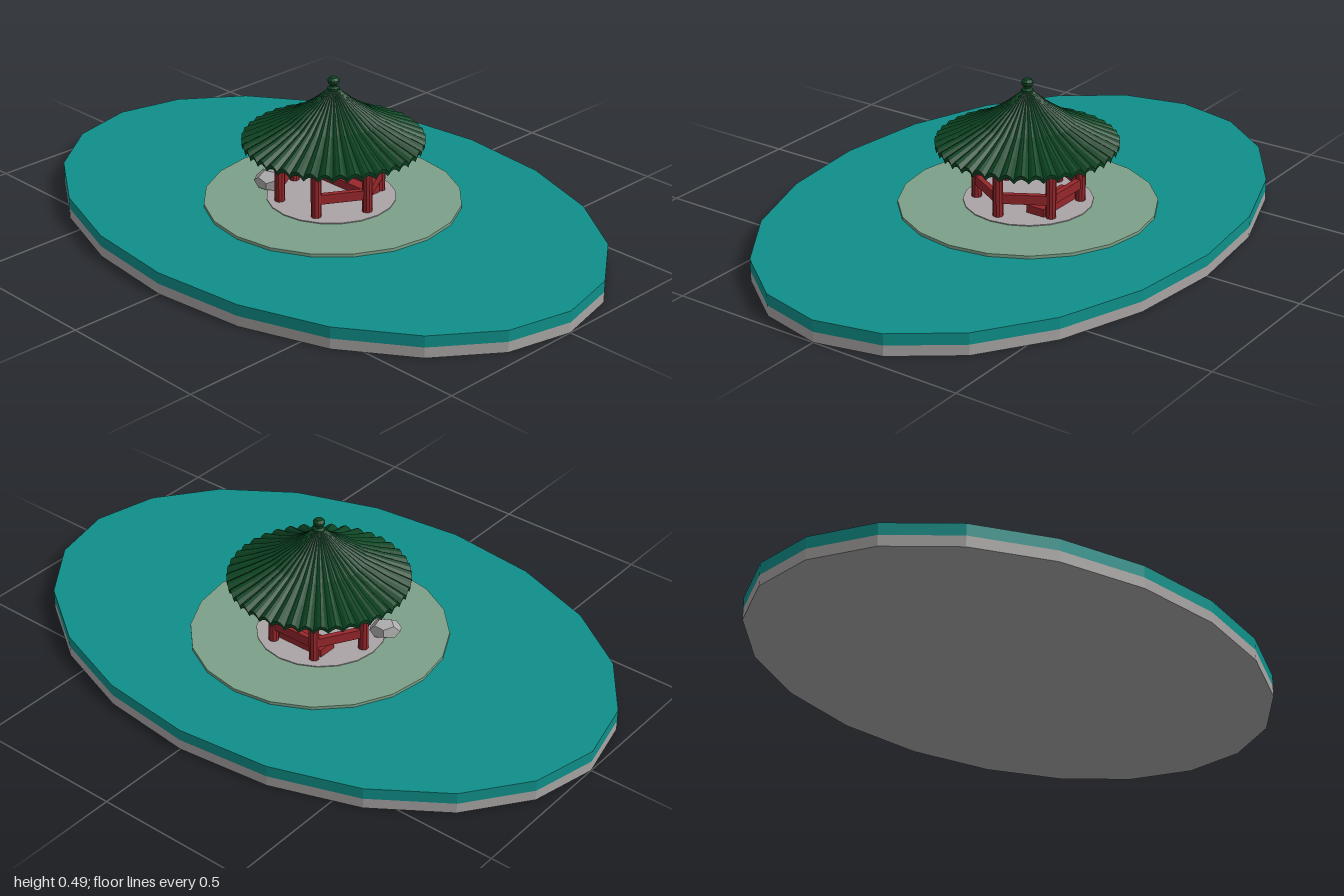
import * as THREE from 'three';

export function createModel() {
  const model = new THREE.Group();
  const mat = (name, color, extra = {}) => {
    const m = new THREE.MeshStandardMaterial({ color, flatShading: true, ...extra });
    m.name = name;
    return m;
  };
  const stone = mat('base grey', 0xa8a4a4);
  const water = mat('water teal', 0x0f8f89);
  const grass = mat('island green', 0x7ca088);
  const paving = mat('paving grey', 0xaaa4a6);
  const red = mat('timber red', 0x96262b);
  const green = mat('roof green', 0x0c4423, { side: THREE.DoubleSide });
  const rockGrey = mat('rock grey', 0xacacac);

  const add = (parent, name, geometry, material, x = 0, y = 0, z = 0) => {
    const mesh = new THREE.Mesh(geometry, material);
    mesh.name = name;
    mesh.position.set(x, y, z);
    parent.add(mesh);
    return mesh;
  };
  const disc = (r, h, n) => new THREE.CylinderGeometry(r, r, h, n);

  // Oval pond on a stone slab
  add(model, 'stoneBase', disc(1, 0.034, 20).scale(1, 1, 0.687), stone, 0, 0.017);
  add(model, 'pondWater', disc(1, 0.037, 20).scale(1, 1, 0.687), water, 0, 0.0525);

  // Round island with paved floor
  add(model, 'island', disc(0.408, 0.012, 20), grass, 0, 0.075, -0.034);
  add(model, 'pavedFloor', disc(0.205, 0.003, 20), paving, -0.005, 0.0825, -0.032);

  // Six-sided timber frame, open at the front
  const frame = new THREE.Group();
  frame.name = 'pavilionFrame';
  frame.position.set(-0.008, 0, -0.03);
  model.add(frame);
  const R = 0.163, apothem = R * Math.cos(Math.PI / 6);
  for (let i = 0; i < 6; i++) {
    const a = (i * Math.PI) / 3;
    add(frame, 'column', disc(0.0165, 0.185, 10), red, R * Math.cos(a), 0.1725, R * Math.sin(a));

    // Beams on the sides between columns; front side is i = 1
    const s = a + Math.PI / 6;
    const bar = (name, length, h, w, y) => {
      const m = add(frame, name, new THREE.BoxGeometry(length, h, w), red,
        apothem * Math.cos(s), y, apothem * Math.sin(s));
      m.rotation.y = Math.PI / 2 - s;
    };
    bar('topBeam', 0.235, 0.02, 0.026, 0.26);
    if (i !== 1) bar('railing', R, 0.031, 0.018, 0.142);
  }

  // Low bench inside, toward the back
  add(frame, 'benchSeat', new THREE.BoxGeometry(0.19, 0.026, 0.065), red, 0, 0.097, -0.092);
  add(frame, 'benchBlock', new THREE.BoxGeometry(0.075, 0.014, 0.018), red, 0, 0.116, -0.108);

  // Concave tiled roof: ribs made by rippling a lathed surface
  const roof = new THREE.Group();
  roof.name = 'roof';
  roof.position.set(0.003, 0, -0.033);
  model.add(roof);
  const ribs = 40;
  const profile = [[0.283, 0.266], [0.287, 0.28], [0.215, 0.312], [0.145, 0.348], [0.075, 0.397], [0.03, 0.435], [0.012, 0.452]]
    .map(([r, y]) => new THREE.Vector2(r, y));
  const tiles = new THREE.LatheGeometry(profile, ribs * 4);
  const p = tiles.attributes.position;
  for (let i = 0; i < p.count; i++) {
    const x = p.getX(i), z = p.getZ(i), r = Math.hypot(x, z);
    const ripple = Math.abs(Math.sin((Math.atan2(z, x) * ribs) / 2));
    p.setY(i, p.getY(i) + 0.016 * (r / 0.287) * (ripple - 0.5));
  }
  tiles.computeVertexNormals();
  add(roof, 'roofTiles', tiles, green);

  // Finial
  const finial = [[0, 0.44], [0.019, 0.44], [0.019, 0.452], [0.011, 0.457], [0.011, 0.463], [0.018, 0.468], [0.019, 0.478], [0.012, 0.486], [0, 0.488]];
  add(roof, 'finial', new THREE.LatheGeometry(finial.map(([r, y]) => new THREE.Vector2(r, y)), 12), green);

  // Garden rock beside the entrance
  const rock = add(model, 'rock', new THREE.DodecahedronGeometry(1), rockGrey, -0.184, 0.108, 0.065);
  rock.scale.set(0.052, 0.034, 0.043);
  rock.rotation.set(0.2, 0.5, -0.15);

  return model;
}
